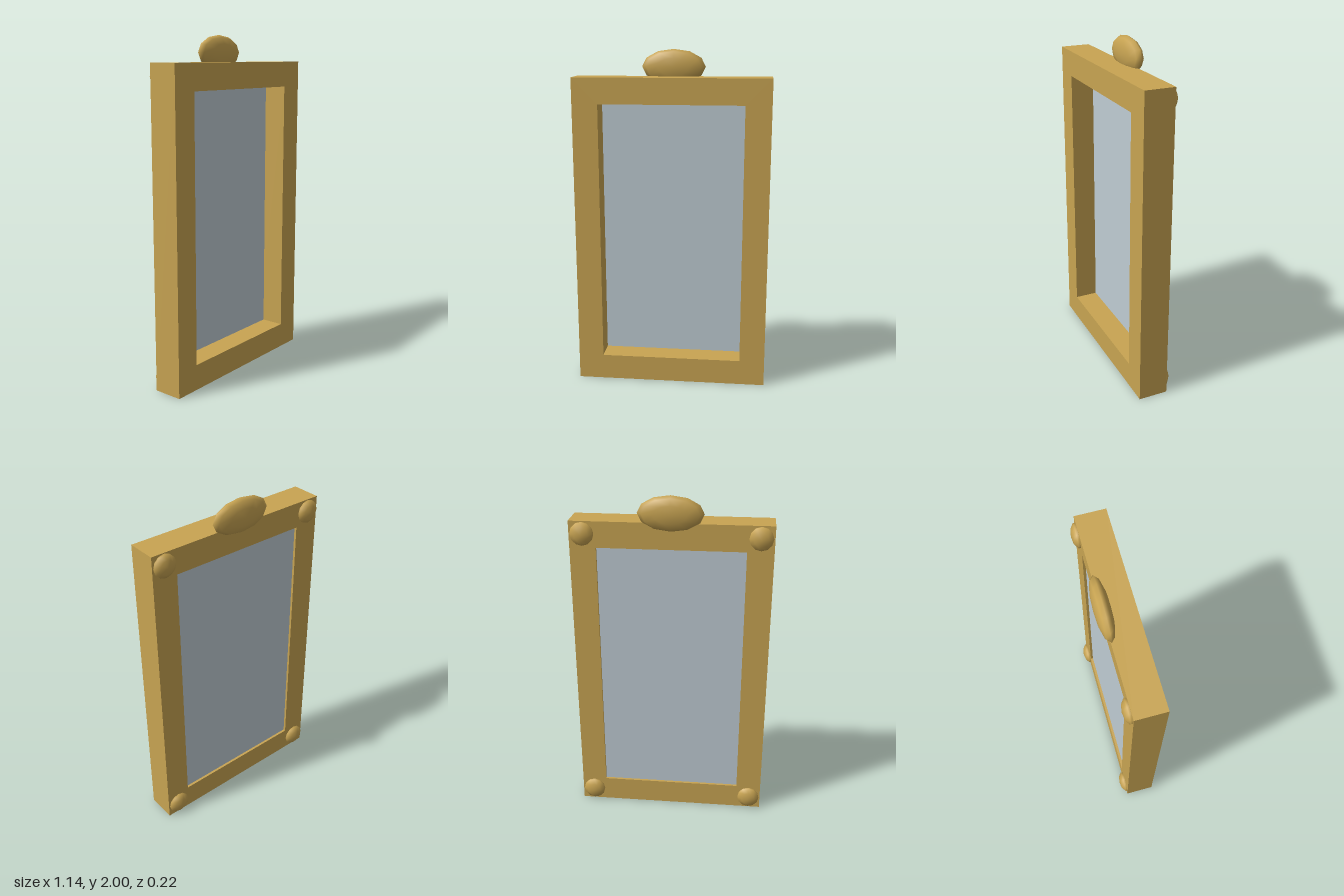
import * as THREE from 'three';

const gold = new THREE.MeshStandardMaterial({ color: 0xc8a452 });
const glass = new THREE.MeshStandardMaterial({ color: 0xbfccd3 });

const BACK = -0.065, DEPTH = 0.175;

function rectangle(Type, halfWidth, bottom, top) {
  const r = new Type();
  r.moveTo(-halfWidth, bottom);
  r.lineTo(halfWidth, bottom);
  r.lineTo(halfWidth, top);
  r.lineTo(-halfWidth, top);
  r.closePath();
  return r;
}

// Flattened sphere with its poles along z, centred on the back face
function ellipsoid(name, x, y, rx, ry, rz, around, rows) {
  const geometry = new THREE.SphereGeometry(1, around, rows);
  geometry.rotateX(Math.PI / 2);
  geometry.scale(rx, ry, rz);
  const mesh = new THREE.Mesh(geometry, gold);
  mesh.name = name;
  mesh.position.set(x, y, BACK);
  return mesh;
}

export function createModel() {
  const model = new THREE.Group();
  model.name = 'framedMirror';

  // Rectangular frame with a through opening
  const outline = rectangle(THREE.Shape, 0.57, 0, 1.846);
  outline.holes.push(rectangle(THREE.Path, 0.42, 0.152, 1.696));
  const frame = new THREE.Mesh(
    new THREE.ExtrudeGeometry(outline, { depth: DEPTH, bevelEnabled: false }), gold);
  frame.name = 'frame';
  frame.position.z = BACK;
  model.add(frame);

  // Pane set deep in the opening, just short of the back
  const pane = new THREE.Mesh(new THREE.BoxGeometry(0.84, 1.544, 0.02), glass);
  pane.name = 'mirrorPane';
  pane.position.set(0, 0.924, -0.04);
  model.add(pane);

  // Crest on the top edge
  model.add(ellipsoid('crest', 0, 1.9, 0.185, 0.1, 0.045, 12, 6));

  // Knobs on the four back corners
  for (const [side, x] of [['left', 0.496], ['right', -0.496]]) {
    for (const [level, y] of [['Top', 1.775], ['Bottom', 0.077]]) {
      model.add(ellipsoid(side + level + 'Knob', x, y, 0.07, 0.07, 0.037, 12, 5));
    }
  }
  return model;
}
